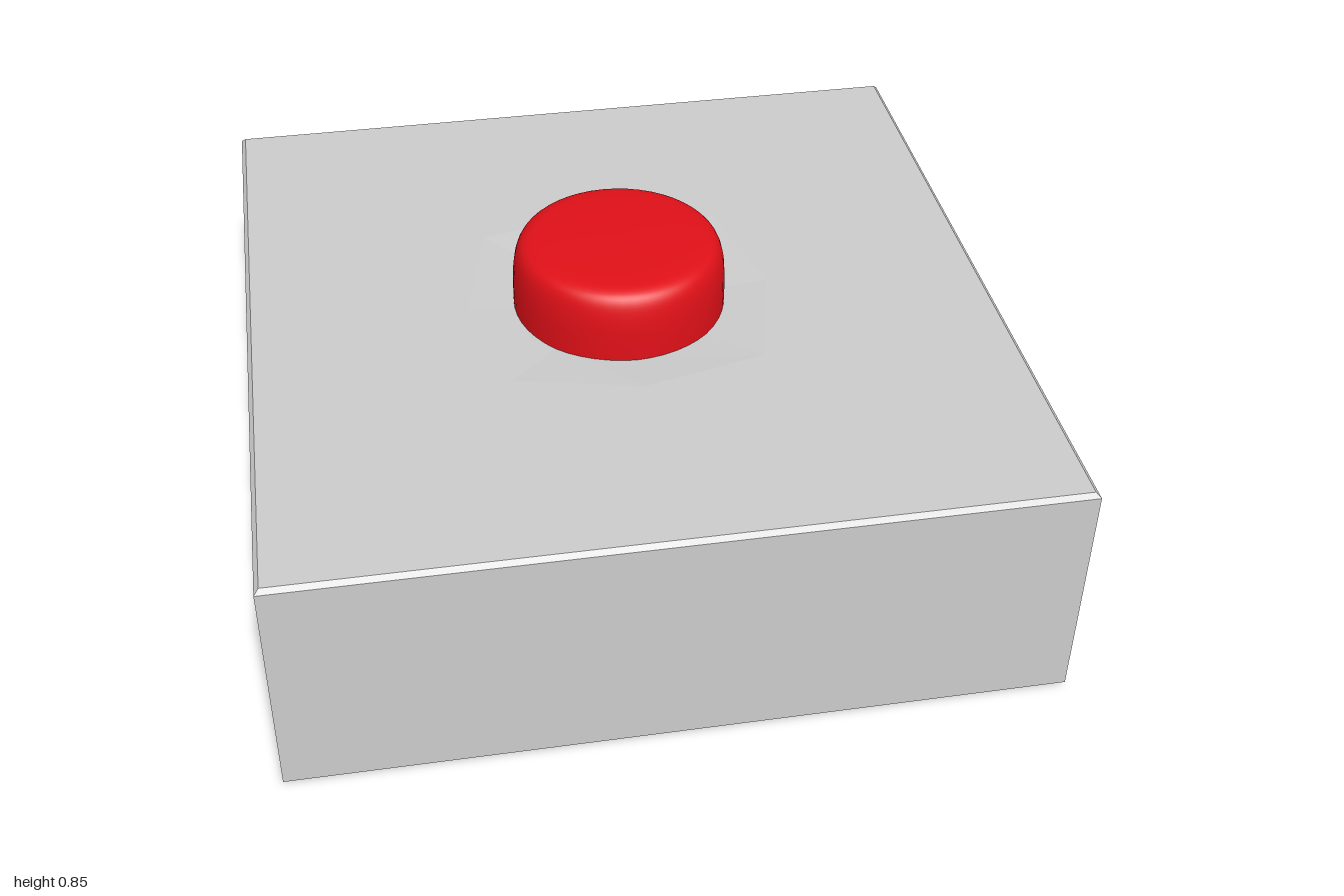
import * as THREE from 'three';

// Eight-point ring: corners at c, edge midpoints at m
function ring(c, m, y) {
  return [[m, 0], [c, c], [0, m], [-c, c], [-m, 0], [-c, -c], [0, -m], [c, -c]]
    .map(([x, z]) => [x, y, z]);
}

// Skin a stack of rings, running from the bottom centre to the top centre
function loft(rings) {
  const pos = [];
  for (let i = 0; i < rings.length - 1; i++) {
    for (let j = 0; j < 8; j++) {
      const k = (j + 1) % 8;
      const a = rings[i][j], b = rings[i][k], c = rings[i + 1][k], d = rings[i + 1][j];
      if (i > 0) pos.push(...a, ...c, ...b);
      if (i < rings.length - 2) pos.push(...a, ...d, ...c);
    }
  }
  const geometry = new THREE.BufferGeometry();
  geometry.setAttribute('position', new THREE.Float32BufferAttribute(pos, 3));
  geometry.computeVertexNormals();
  return geometry;
}

export function createModel() {
  const group = new THREE.Group();

  // Square housing with fine bevels and a shallow octagonal dip in the top
  const base = new THREE.Mesh(
    loft([
      ring(0, 0, 0),
      ring(0.988, 0.988, 0),
      ring(1, 1, 0.012),
      ring(1, 1, 0.643),
      ring(0.988, 0.988, 0.655),
      ring(0.33, 0.41, 0.655),
      ring(0.19, 0.26, 0.643),
      ring(0, 0, 0.643),
    ]),
    new THREE.MeshStandardMaterial({ color: 0xcccccc, flatShading: true })
  );
  base.name = 'base';
  group.add(base);

  // Round push button with a soft rim and slightly domed top
  const rim = new THREE.SplineCurve([
    [0.285, 0.63], [0.285, 0.72], [0.28, 0.78], [0.268, 0.818],
    [0.245, 0.836], [0.2, 0.843], [0.1, 0.847], [0, 0.849],
  ].map(([x, y]) => new THREE.Vector2(x, y)));
  const profile = rim.getPoints(28);
  profile[profile.length - 1].x = 0;
  const button = new THREE.Mesh(
    new THREE.LatheGeometry(profile, 48),
    new THREE.MeshStandardMaterial({ color: 0xe01018 })
  );
  button.name = 'button';
  group.add(button);

  return group;
}
